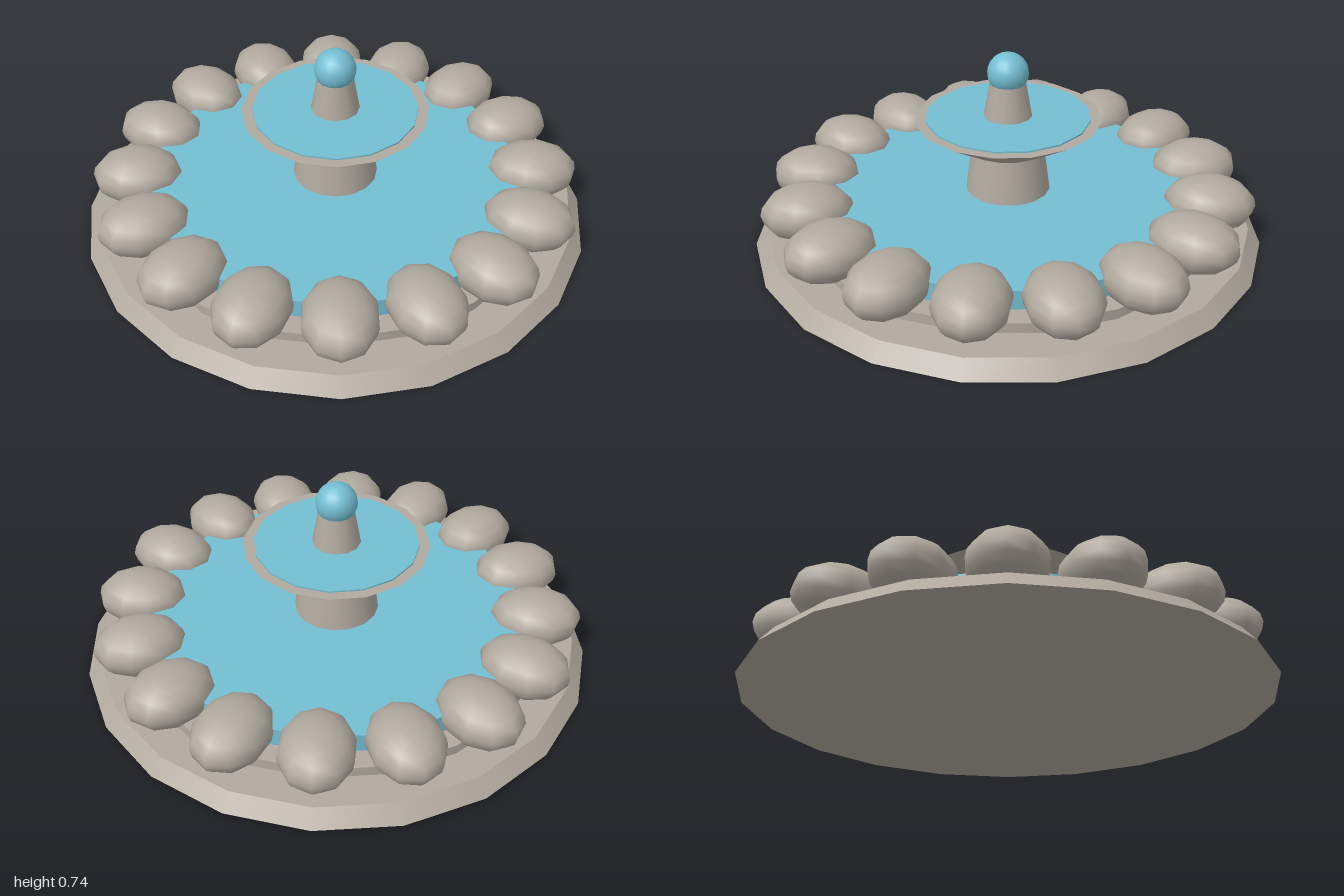
import * as THREE from 'three';

export function createModel() {
  const fountain = new THREE.Group();
  fountain.name = 'fountain';
  const stone = new THREE.MeshStandardMaterial({ color: 0xb0a99e });
  stone.name = 'stone';
  const water = new THREE.MeshStandardMaterial({ color: 0x74bed2 });
  water.name = 'water';

  const add = (name, geometry, material) => {
    const mesh = new THREE.Mesh(geometry, material);
    mesh.name = name;
    fountain.add(mesh);
    return mesh;
  };
  // Tapered round part between two heights
  const drum = (name, rBottom, rTop, y0, y1, sides, material) => {
    const mesh = add(name, new THREE.CylinderGeometry(rTop, rBottom, y1 - y0, sides), material);
    mesh.position.y = (y0 + y1) / 2;
    return mesh;
  };

  // Stepped base and main pool
  drum('base', 1, 0.95, 0, 0.06, 20, stone);
  drum('step', 0.82, 0.82, 0.06, 0.1, 20, stone);
  drum('poolWater', 0.74, 0.74, 0.1, 0.175, 20, water);

  // Ring of rounded boulders, long axis pointing outwards
  const boulder = new THREE.SphereGeometry(1, 10, 10).scale(0.177, 0.106, 0.14);
  const count = 16;
  for (let i = 0; i < count; i++) {
    const a = (i / count) * Math.PI * 2;
    const mesh = add('boulder', boulder, stone);
    mesh.position.set(Math.cos(a) * 0.79, 0.167, -Math.sin(a) * 0.79);
    mesh.rotation.y = a;
  }

  // Pedestal, upper bowl and its water
  drum('pedestal', 0.177, 0.14, 0.1, 0.37, 16, stone);
  drum('upperBowl', 0.175, 0.36, 0.365, 0.48, 16, stone);
  drum('bowlWater', 0.32, 0.32, 0.478, 0.486, 16, water);

  // Spout with a bubble of water on top
  drum('spout', 0.095, 0.07, 0.48, 0.62, 12, stone);
  const bubble = add('waterBubble', new THREE.SphereGeometry(0.08, 16, 12), water);
  bubble.position.y = 0.66;

  return fountain;
}
